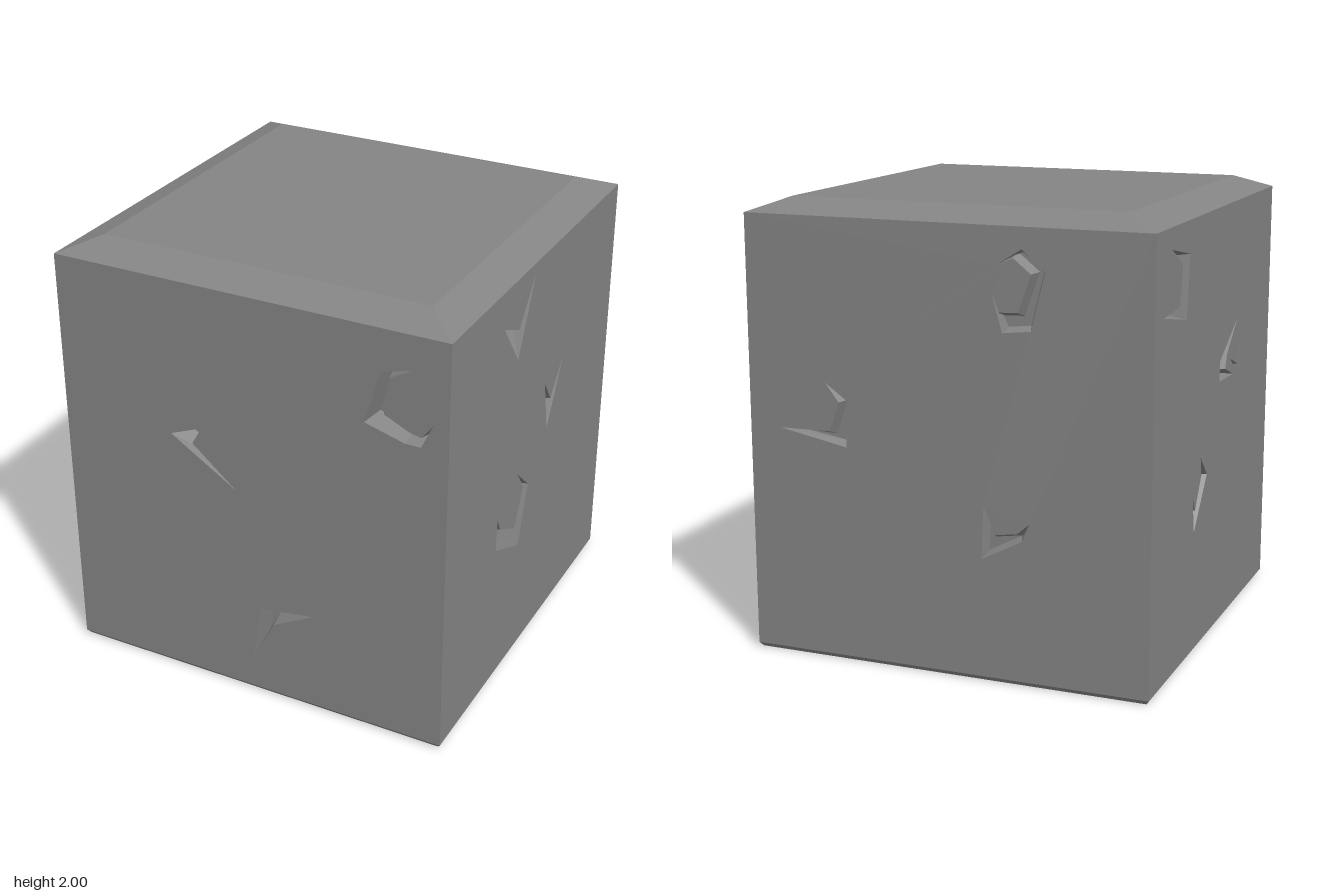
import * as THREE from 'three';

const HALF = 0.91, LOW = 0.02, HIGH = 1.94, SLOPE = 0.018;

// Chips on each side, seen from outside it. Each is a bent blade: its outer edge
// runs tip, corners, tip as [across, height]; a corner's third value is how far
// its inner edge is drawn towards the middle of the two tips.
const SIDES = {
  front: { depth: 0.1, chips: [
    [[0.75, 1.79], [0.61, 1.75, 0.22], [0.54, 1.51, 0.34], [0.72, 1.46, 0.25], [0.79, 1.46, 0.2], [0.84, 1.57]],
    [[-0.155, 1.31], [-0.375, 1.22, 0.39], [-0.06, 1.02]],
    [[0, 0.18], [0.04, 0.45, 0.58], [0.3, 0.49]],
  ] },
  right: { depth: 0.1, chips: [
    [[-0.39, 1.77], [-0.225, 1.56, 0.51], [-0.07, 1.9]],
    [[0.11, 1.29], [0.165, 1.04, 0.52], [0.32, 1.33]],
    [[-0.16, 0.97], [-0.03, 0.855, 0.24], [-0.115, 0.58, 0.36], [-0.375, 0.7, 0.4], [-0.37, 0.855]],
  ] },
  back: { depth: 0.045, chips: [
    [[0.24, 1.78], [0.35, 1.85, 0.3], [0.45, 1.76, 0.27], [0.39, 1.52, 0.35], [0.265, 1.505, 0.38], [0.22, 1.67]],
    [[-0.765, 1.02], [-0.45, 0.96, 0.38], [-0.44, 1.16, 0.2], [-0.545, 1.235]],
    [[0.18, 0.77], [0.17, 0.54, 0.55], [0.35, 0.635, 0.3], [0.385, 0.715]],
  ] },
  left: { depth: 0.1, chips: [
    [[-0.705, 1.85], [-0.45, 1.8, 0.33], [-0.48, 1.53, 0.37], [-0.8, 1.59]],
    [[0.33, 1.4], [0.05, 1.25, 0.45], [0.05, 1.16, 0.35], [0.28, 1.15]],
    [[0.39, 1.33], [0.385, 1.12, 0.4], [0.22, 1.23]],
    [[-0.225, 0.88], [-0.12, 0.78, 0.55], [-0.305, 0.565, 0.4], [-0.335, 0.735]],
  ] },
};

// Closed counter-clockwise outline of a chip, from its outer edge
function chipRim(edge) {
  const outer = edge.map(([x, y]) => new THREE.Vector2(x, y));
  const middle = outer[0].clone().lerp(outer[outer.length - 1], 0.5);
  const inner = outer.slice(1, -1).map((p, i) => p.clone().lerp(middle, edge[i + 1][2]));
  const rim = [...outer, ...inner.reverse()];
  return THREE.ShapeUtils.isClockWise(rim) ? rim.reverse() : rim;
}

// Moves a counter-clockwise outline inwards, limiting the reach at sharp tips
function inset(points, distance) {
  const count = points.length;
  return points.map((p, i) => {
    const before = p.clone().sub(points[(i + count - 1) % count]).normalize();
    const after = points[(i + 1) % count].clone().sub(p).normalize();
    const n1 = new THREE.Vector2(-before.y, before.x);
    const n2 = new THREE.Vector2(-after.y, after.x);
    const move = n1.clone().add(n2).multiplyScalar(distance / Math.max(1 + n1.dot(n2), 0.02));
    return p.clone().add(move.clampLength(0, 0.11));
  });
}

// Sloping walls from the rim of a chip down to its floor
function chipWalls(rim, floor, depth) {
  const positions = [];
  rim.forEach((a, i) => {
    const j = (i + 1) % rim.length;
    const b = rim[j], c = floor[j], d = floor[i];
    positions.push(a.x, a.y, 0, b.x, b.y, 0, c.x, c.y, -depth);
    positions.push(a.x, a.y, 0, c.x, c.y, -depth, d.x, d.y, -depth);
  });
  const geometry = new THREE.BufferGeometry();
  geometry.setAttribute('position', new THREE.Float32BufferAttribute(positions, 3));
  geometry.computeVertexNormals();
  return geometry;
}

export function createModel() {
  const model = new THREE.Group();
  model.name = 'chippedBlock';
  const material = new THREE.MeshStandardMaterial({ color: 0x848484, flatShading: true });

  const add = (parent, name, geometry, z = 0) => {
    const mesh = new THREE.Mesh(geometry, material);
    mesh.name = name;
    mesh.position.z = z;
    parent.add(mesh);
  };

  // Square caps: a four-sided lathe of [half width, height] points
  const cap = (name, profile) => add(model, name, new THREE.LatheGeometry(
    profile.map(([w, y]) => new THREE.Vector2(w * Math.SQRT2, y)), 4, Math.PI / 4));
  cap('bottomCap', [[0, 0], [0.895, 0], [HALF, LOW]]);
  cap('topCap', [[HALF, HIGH], [0.757, 2], [0, 2]]);

  // Sides with carved chips, a quarter turn apart
  Object.entries(SIDES).forEach(([name, { depth, chips }], quarter) => {
    const side = new THREE.Group();
    side.name = `${name}Side`;
    side.rotation.y = quarter * Math.PI / 2;
    model.add(side);

    const face = new THREE.Shape();
    face.moveTo(-HALF, LOW).lineTo(HALF, LOW).lineTo(HALF, HIGH).lineTo(-HALF, HIGH);
    chips.forEach((edge, i) => {
      const rim = chipRim(edge);
      const floor = inset(rim, SLOPE);
      face.holes.push(new THREE.Path(rim));
      add(side, `${name}ChipWalls${i + 1}`, chipWalls(rim, floor, depth), HALF);
      add(side, `${name}ChipFloor${i + 1}`, new THREE.ShapeGeometry(new THREE.Shape(floor)), HALF - depth);
    });
    add(side, `${name}Face`, new THREE.ShapeGeometry(face), HALF);
  });
  return model;
}
